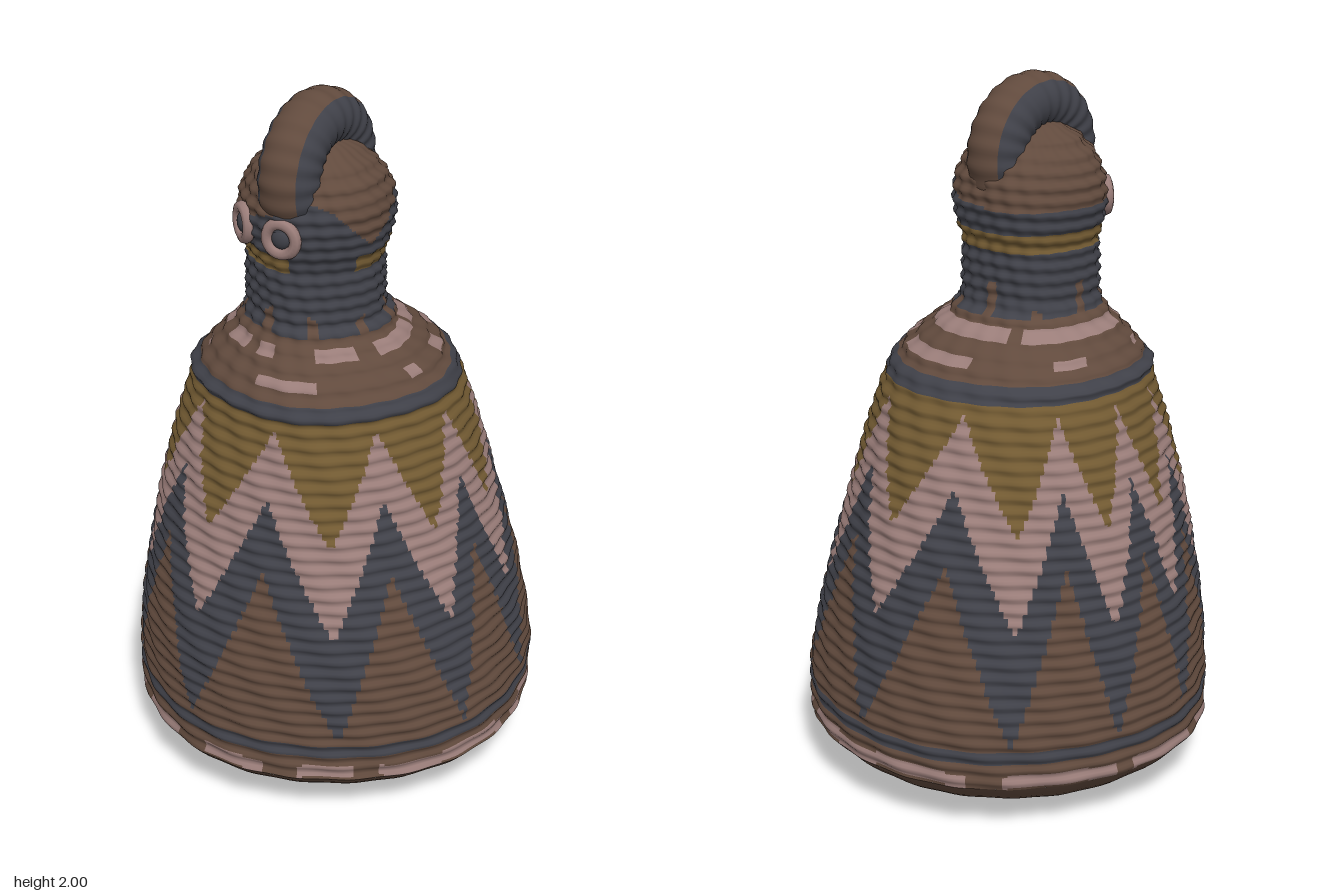
import * as THREE from 'three';
import { ParametricGeometry } from 'three/addons/geometries/ParametricGeometry.js';

const makeMat = (name, color) => {
  const m = new THREE.MeshStandardMaterial({ color });
  m.name = name;
  return m;
};

// Wall profile: height, radius, centre x, centre z
const PROFILE = [
  [0.10, 0.565, 0, 0], [0.15, 0.575, 0, 0], [0.30, 0.575, 0, 0], [0.45, 0.556, 0, 0.01],
  [0.60, 0.528, 0, 0.015], [0.80, 0.482, -0.005, 0.02], [1.00, 0.430, 0, 0.025], [1.14, 0.385, 0.005, 0.03],
  [1.20, 0.362, 0.012, 0.042], [1.25, 0.325, 0.015, 0.05], [1.30, 0.270, 0.015, 0.06], [1.34, 0.222, 0.015, 0.07],
  [1.39, 0.190, 0.015, 0.078], [1.50, 0.188, 0.015, 0.08], [1.55, 0.185, 0.015, 0.08], [1.60, 0.202, 0.018, 0.08],
  [1.66, 0.212, 0.02, 0.082], [1.72, 0.206, 0.025, 0.085], [1.78, 0.178, 0.025, 0.088], [1.83, 0.130, 0.025, 0.09],
  [1.86, 0.080, 0.025, 0.09], [1.88, 0.001, 0.025, 0.09],
];

function profileAt(y) {
  let i = 0;
  while (i < PROFILE.length - 2 && PROFILE[i + 1][0] < y) i++;
  const a = PROFILE[i], b = PROFILE[i + 1];
  const t = THREE.MathUtils.clamp((y - a[0]) / (b[0] - a[0]), 0, 1);
  return [1, 2, 3].map((k) => THREE.MathUtils.lerp(a[k], b[k], t));
}

// Coiled wall surface; the angle runs from the front (+z) towards +x
function wall(angle, y, target) {
  const [r, cx, cz] = profileAt(y);
  const coil = 0.0045 * Math.sin((y * 2 * Math.PI) / 0.037 + angle + 0.5 * Math.sin(3 * angle));
  const lumps = 0.004 * Math.sin(5 * angle + 4 * y) + 0.0025 * Math.sin(23 * angle + 37 * y);
  const rim = 0.008 * Math.max(0, 1 - Math.abs(y - 1.2) / 0.03);
  const R = r + (coil + lumps) * Math.min(1, r / 0.15) + rim;
  return target.set(cx + R * Math.sin(angle), y, cz + R * Math.cos(angle));
}

// Zigzag height at an angle in degrees: low at each tip, high midway between
const TIPS = [4, 49, 87, 118, 155, 194, 240, 271, 298, 326, 364];
function zigzag(deg, low, high) {
  const i = TIPS.findIndex((t) => t > deg);
  const t = (deg - TIPS[i - 1]) / (TIPS[i] - TIPS[i - 1]);
  return low + (high - low) * (1 - Math.abs(1 - 2 * t));
}

// Upper edge of the dark face markings: angle, height
const FACE = [[4, 1.70], [45, 1.75], [62, 1.72], [90, 1.62], [118, 1.68], [142, 1.73], [170, 1.665], [270, 1.655], [325, 1.66], [364, 1.70]];
function faceEdge(deg) {
  const i = FACE.findIndex((f) => f[0] > deg);
  const [a, b] = [FACE[i - 1], FACE[i]];
  return THREE.MathUtils.mapLinear(deg, a[0], b[0], a[1], b[1]);
}

// Broken pink coils as angle spans
const FOOT = [[8, 28], [37, 53], [60, 105], [111, 160], [165, 228], [237, 271], [277, 301], [308, 331], [338, 357]];
const SHOULDER = [[13, 45], [93, 102], [127, 141], [158, 212], [255, 274], [317, 323]];
const RING = [[4, 17], [45, 72], [87, 132], [138, 228], [236, 318], [332, 354]];

// Woven colours: 0 brown, 1 slate, 2 dusty pink, 3 ochre
function weave(angle, y) {
  const deg = ((THREE.MathUtils.radToDeg(angle) - 4 + 360) % 360) + 4;
  const dashed = (spans, low, high) => y > low && y < high && spans.some(([a, b]) => deg > a && deg < b);
  const wave = 0.006 * Math.sin(9 * angle);
  if (y < 0.225) return dashed(FOOT, 0.155 + wave, 0.192 + wave) ? 2 : 0;
  if (y < 0.264) return 1;
  if (y < 1.18) {
    if (y < zigzag(deg, 0.268, 0.76)) return 0;
    if (y < zigzag(deg, 0.58, 0.96)) return 1;
    return y < zigzag(deg, 0.84, 1.15) ? 2 : 3;
  }
  if (y < 1.222) return 1;
  if (y < 1.365) return dashed(SHOULDER, 1.25, 1.277) || dashed(RING, 1.308, 1.342) ? 2 : 0;
  if (y < 1.535) {
    const fleck = Math.sin(9 * angle + 0.8) > 0.75;
    return fleck && y < 1.415 + 0.035 * Math.sin(4 * angle) ? 0 : 1;
  }
  if (y < 1.59) return y > 1.542 && (deg > 80 || deg < 26) ? 3 : 1;
  return y < faceEdge(deg) ? 1 : 0;
}

// Wall from foot to crown, one geometry group per colour
function wovenWall(columns, rows, low, high) {
  const positions = [];
  const faces = [[], [], [], []];
  const point = new THREE.Vector3();
  for (let i = 0; i <= rows; i++) {
    for (let j = 0; j < columns; j++) {
      wall((j / columns) * 2 * Math.PI, low + ((high - low) * i) / rows, point);
      positions.push(point.x, point.y, point.z);
    }
  }
  for (let i = 0; i < rows; i++) {
    for (let j = 0; j < columns; j++) {
      const a = i * columns + j, b = i * columns + ((j + 1) % columns);
      const colour = weave(((j + 0.5) / columns) * 2 * Math.PI, low + ((high - low) * (i + 0.5)) / rows);
      faces[colour].push(a, b, b + columns, a, b + columns, a + columns);
    }
  }
  const geometry = new THREE.BufferGeometry();
  geometry.setAttribute('position', new THREE.Float32BufferAttribute(positions, 3));
  geometry.setIndex(faces.flat());
  let start = 0;
  faces.forEach((list, colour) => {
    geometry.addGroup(start, list.length, colour);
    start += list.length;
  });
  geometry.computeVertexNormals();
  return geometry;
}

export function createModel() {
  const model = new THREE.Group();
  model.name = 'covered basket';
  const brown = makeMat('brown', 0x614a3d);
  const dark = makeMat('slate', 0x404149);
  const pink = makeMat('dusty pink', 0x9a7d79);
  const ochre = makeMat('ochre', 0x725a32);

  const add = (name, geometry, material, parent = model) => {
    const mesh = new THREE.Mesh(geometry, material);
    mesh.name = name;
    parent.add(mesh);
    return mesh;
  };

  add('woven body, lid and head', wovenWall(250, 234, 0.15, 1.88), [brown, dark, pink, ochre]);

  // Sagging underside
  add('underside', new ParametricGeometry((u, v, target) => {
    const a = u * 2 * Math.PI;
    wall(a, 0.15, target);
    target.x *= v;
    target.z *= v;
    const dents = 1 + 0.6 * Math.sin(3 * a + 5 * v) + 0.4 * Math.sin(5 * a);
    target.y = 0.03 * v + 0.12 * v ** 6 + 0.014 * Math.sin(Math.PI * v) * v * dents;
  }, 125, 24), brown);

  // Ringed eyes
  for (const [side, degrees] of [['right', -21], ['left', 22]]) {
    const a = THREE.MathUtils.degToRad(degrees);
    const eye = new THREE.Group();
    eye.name = side + ' eye';
    wall(a, 1.65, eye.position);
    eye.rotation.y = a;
    add('eye ring', new THREE.TorusGeometry(0.042, 0.017, 8, 24), pink, eye);
    add('pupil', new THREE.SphereGeometry(0.028, 14, 10), dark, eye).scale.z = 0.6;
    model.add(eye);
  }

  // Arched crest: brown ridge with dark flanks
  const crest = new THREE.Group();
  crest.name = 'crest';
  crest.position.set(0.03, 1.78, 0.09);
  crest.rotation.y = 0.3;
  model.add(crest);
  const crestStrip = (name, material, from, to) => add(name, new ParametricGeometry((u, v, target) => {
    const b = THREE.MathUtils.degToRad(from + (to - from) * u);
    const a = THREE.MathUtils.degToRad(-30 + 240 * v);
    const t = 0.078 + 0.002 * Math.sin(a * 22);
    const R = 0.14 + t * Math.cos(b);
    target.set(1.1 * t * Math.sin(b), R * Math.sin(a), R * Math.cos(a));
  }, 10, 90), material, crest);
  crestStrip('crest ridge', brown, -40, 40);
  crestStrip('crest left flank', dark, 40, 180);
  crestStrip('crest right flank', dark, -180, -40);

  return model;
}
